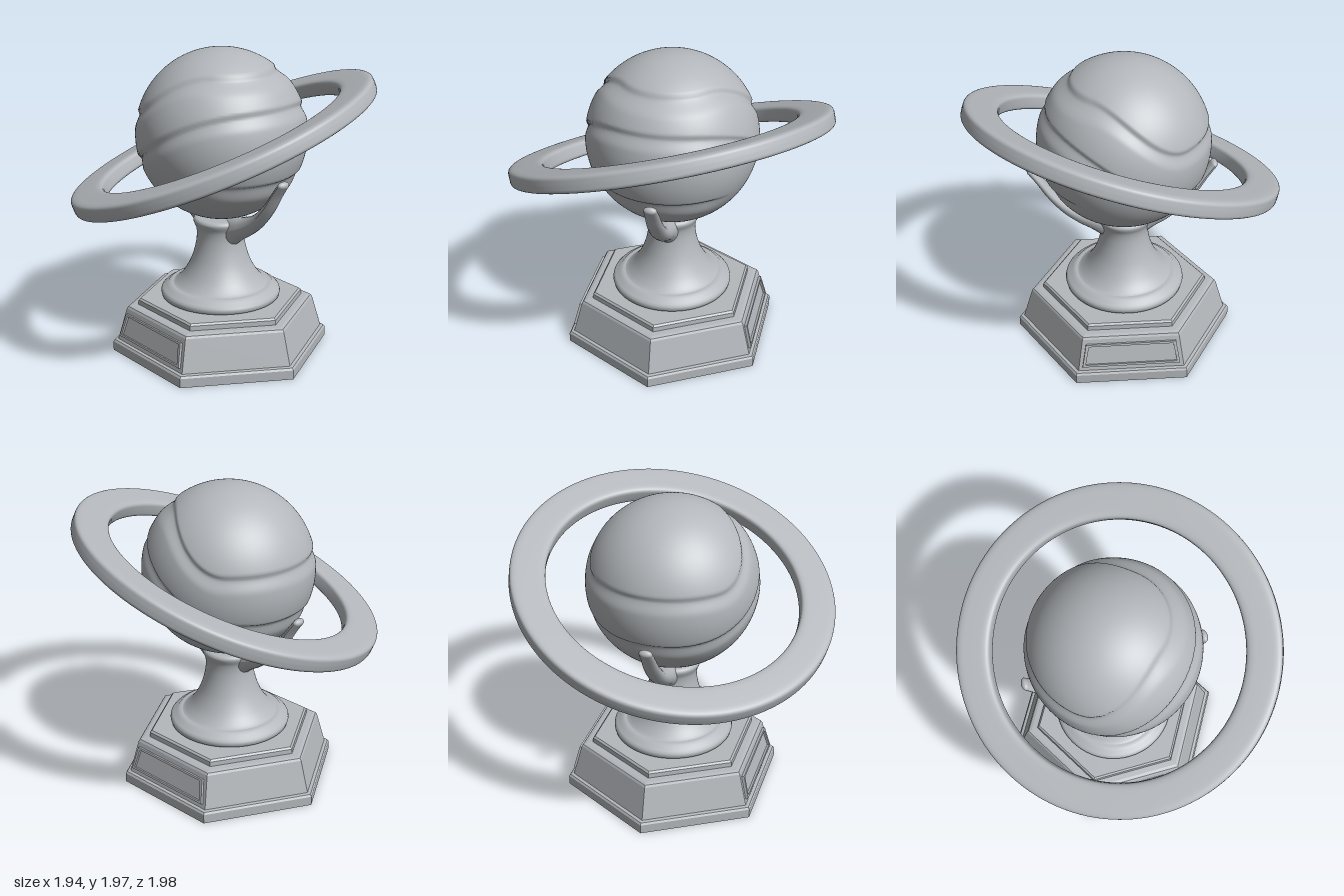
import * as THREE from 'three';
import { mergeVertices } from 'three/addons/utils/BufferGeometryUtils.js';

const V2 = (a) => a.map(([x, y]) => new THREE.Vector2(x, y));
const CX = -0.022; // axis of the trophy

export function createModel() {
  const model = new THREE.Group();
  model.name = 'planetTrophy';
  const grey = new THREE.MeshStandardMaterial({ color: 0xb4b8bc });
  grey.name = 'plain grey';

  const add = (name, geometry, x = 0, y = 0, z = 0, parent = model) => {
    const mesh = new THREE.Mesh(geometry, grey);
    mesh.name = name;
    mesh.position.set(x, y, z);
    parent.add(mesh);
    return mesh;
  };

  // Six-sided plinth: foot, sloping body, top step
  const plinth = new THREE.LatheGeometry(V2([
    [0, 0], [0.705, 0], [0.705, 0.06], [0.695, 0.073], [0.672, 0.077],
    [0.612, 0.285], [0.602, 0.299], [0.58, 0.305], [0.537, 0.308],
    [0.535, 0.338], [0.522, 0.35], [0, 0.35],
  ]), 6, Math.PI / 6).toNonIndexed();
  plinth.computeVertexNormals();
  add('plinth', plinth, CX, 0, 0);

  // Framed name plates on the front and back slopes
  const trapezoid = (C, top, bottom, h) => new C().setFromPoints(
    V2([[-bottom, -h], [bottom, -h], [top, h], [-top, h]]));
  const frameShape = trapezoid(THREE.Shape, 0.285, 0.31, 0.077);
  frameShape.holes.push(trapezoid(THREE.Path, 0.267, 0.29, 0.063));
  const frame = new THREE.ExtrudeGeometry(frameShape, { depth: 0.022, bevelEnabled: false });
  const plate = new THREE.ExtrudeGeometry(trapezoid(THREE.Shape, 0.27, 0.292, 0.065),
    { depth: 0.008, bevelEnabled: false });
  for (const side of [0, Math.PI]) {
    const turn = new THREE.Group();
    turn.name = side ? 'backNamePlate' : 'frontNamePlate';
    turn.position.x = CX;
    turn.rotation.y = side;
    for (const [name, g] of [['plateFrame', frame], ['platePanel', plate]]) {
      add(name, g, 0, 0.18, 0.551, turn).rotation.x = -0.245;
    }
    model.add(turn);
  }

  // Flared stem standing on a rounded collar
  add('collar', new THREE.LatheGeometry(V2([
    [0, 0.345], [0.31, 0.345], [0.31, 0.36], [0.375, 0.36], [0.38, 0.361], [0.385, 0.38],
    [0.382, 0.395], [0.37, 0.408], [0.345, 0.42], [0.335, 0.432], [0.315, 0.437], [0.28, 0.438],
  ]), 64), CX, 0, 0);
  const stemCurve = new THREE.SplineCurve(V2([
    [0.315, 0.432], [0.285, 0.45], [0.24, 0.5], [0.195, 0.58], [0.165, 0.67], [0.152, 0.75],
    [0.155, 0.81], [0.17, 0.848], [0.172, 0.868], [0.155, 0.884], [0.1, 0.888], [0, 0.888],
  ]));
  const stemPoints = stemCurve.getPoints(48);
  stemPoints.forEach((p) => { p.x = Math.max(p.x, 0); });
  add('stem', new THREE.LatheGeometry(stemPoints, 64), CX, 0, 0);

  // Two tapering arms that curve up around the globe
  const armPath = new THREE.CatmullRomCurve3([
    [0.08, 0.8], [0.17, 0.845], [0.25, 0.88], [0.35, 0.945], [0.45, 1.05], [0.525, 1.16], [0.572, 1.225],
  ].map(([x, y]) => new THREE.Vector3(x, y, 0)));
  const steps = 32;
  const sides = 16;
  const arm = new THREE.TubeGeometry(armPath, steps, 1, sides);
  const ap = arm.attributes.position;
  for (let i = 0; i < ap.count; i++) {
    const t = Math.floor(i / (sides + 1)) / steps;
    const c = armPath.getPointAt(t);
    const r = 0.07 * Math.pow(1 - t, 2) + 0.024;
    const wide = 0.075 - 0.033 * t;
    ap.setXYZ(i, c.x + (ap.getX(i) - c.x) * r, c.y + (ap.getY(i) - c.y) * r, ap.getZ(i) * wide);
  }
  arm.computeVertexNormals();
  for (const s of [0, Math.PI]) {
    const g = new THREE.Group();
    g.name = s ? 'rightArm' : 'leftArm';
    g.position.x = -0.01;
    g.rotation.y = s;
    add('armCurve', arm, 0, 0, 0, g);
    add('armTip', new THREE.SphereGeometry(1, 20, 14), 0.572, 1.225, 0, g).scale.set(0.024, 0.024, 0.042);
    model.add(g);
  }

  // Globe with soft stepped bands cut along wavy lines
  const smooth = THREE.MathUtils.smoothstep;
  const bands = [
    (x) => 0.26 + 0.53 * smooth(x, -0.65, 0.4),
    (x) => -0.35 + 0.8 * smooth(x, -0.95, 1.0),
    () => -0.4,
  ];
  let globe = new THREE.SphereGeometry(1, 180, 130);
  globe.deleteAttribute('uv');
  globe.deleteAttribute('normal');
  globe = mergeVertices(globe, 1e-5);
  const gp = globe.attributes.position;
  const v = new THREE.Vector3();
  for (let i = 0; i < gp.count; i++) {
    v.fromBufferAttribute(gp, i);
    let r = 0.537;
    bands.forEach((line, k) => {
      const below = line(v.x) - v.y;
      const fade = k === 2 ? smooth(v.x, 0.45, 0.75) : 1;
      r -= 0.016 * fade * smooth(below, -0.02, 0.03) * (1 - smooth(below, 0.03, 0.2));
    });
    v.multiplyScalar(r);
    gp.setXYZ(i, v.x, v.y, v.z);
  }
  globe.computeVertexNormals();
  add('globe', globe, -0.018, 1.428, -0.005);

  // Broad tilted ring with rounded edges
  const ringSection = [];
  for (let i = 0; i <= 40; i++) {
    const a = (i / 40) * Math.PI * 2;
    const c = Math.cos(a);
    const s = Math.sin(a);
    ringSection.push(new THREE.Vector2(
      0.893 + 0.108 * Math.sign(c) * Math.pow(Math.abs(c), 0.4),
      0.056 * Math.sign(s) * Math.pow(Math.abs(s), 0.4)));
  }
  const ring = add('ring', new THREE.LatheGeometry(ringSection, 128), -0.003, 1.373, 0);
  ring.quaternion.setFromUnitVectors(new THREE.Vector3(0, 1, 0),
    new THREE.Vector3(-0.285, 0.925, 0.258).normalize());
  ring.scale.z = 1.015;

  return model;
}
